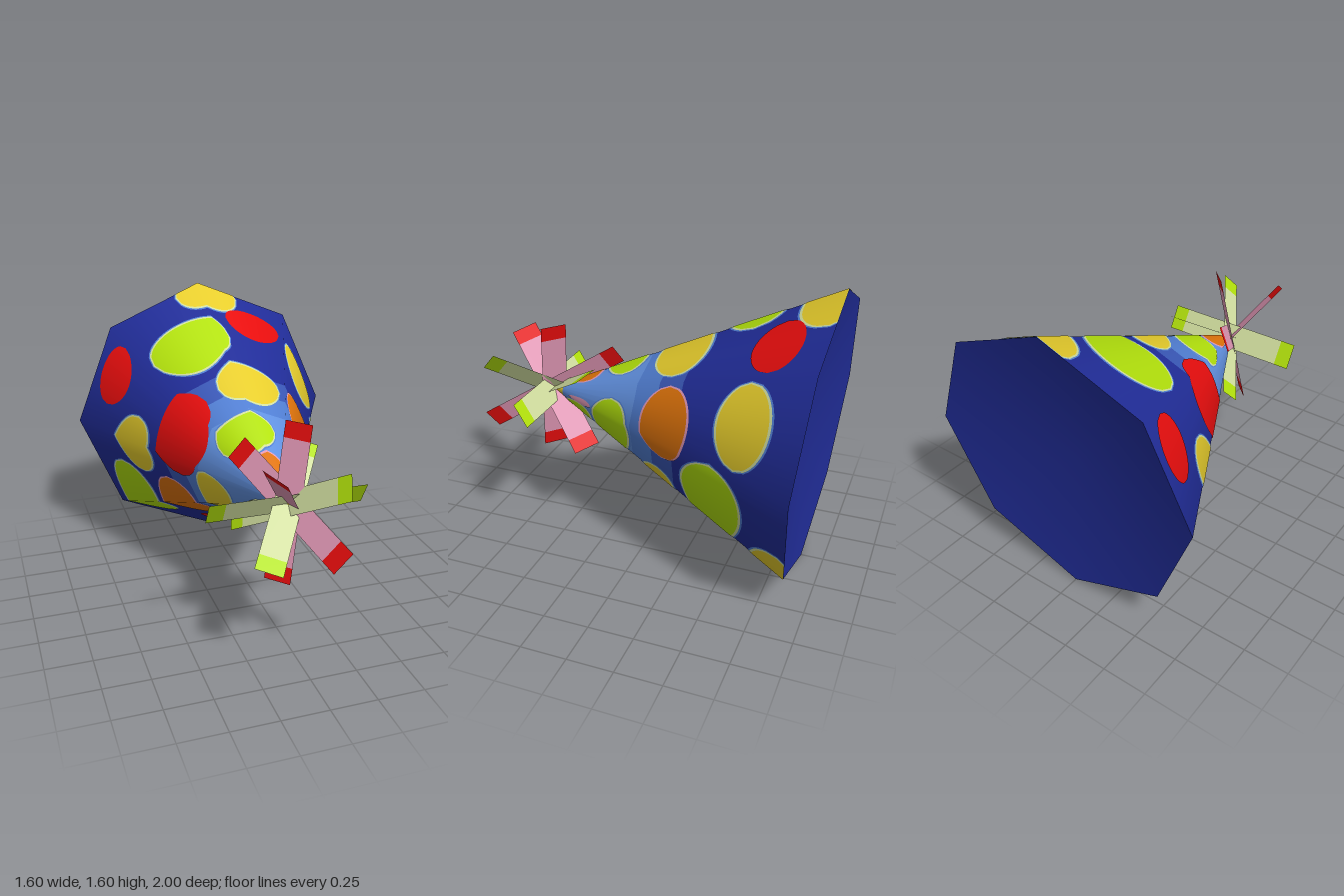
import * as THREE from 'three';

const mat = (name, color) => {
  const m = new THREE.MeshStandardMaterial({ color, side: THREE.DoubleSide });
  m.name = name;
  return m;
};

const RAD = Math.PI / 180;
const STEP = 45; // eight-sided cone
const APEX = new THREE.Vector3(0, 0.805, 0.655);

// The rear end leans, so its depth depends on height
const baseZ = (y) => -0.9375 - 0.078 * (y - 0.8);

// Point on the cone: angle in degrees, t = 0 at the tip and 1 at the rim
function conePoint(deg, t, lift) {
  const inFacet = (((deg % STEP) + STEP) % STEP) - STEP / 2;
  const r = 0.8 * Math.cos((STEP / 2) * RAD) / Math.cos(inFacet * RAD);
  const c = Math.cos(deg * RAD), s = Math.sin(deg * RAD);
  const base = new THREE.Vector3(r * c, 0.8 + r * s, baseZ(0.8 + r * s));
  const normal = new THREE.Vector3(c, s, 0.5).normalize();
  return { p: APEX.clone().lerp(base, t).addScaledVector(normal, lift), normal };
}

// Patch of cone surface between two angles; span(deg) gives its [low, high] t
function conePatch(from, to, steps, span, lift = 0) {
  const angles = [];
  for (let i = 0; i <= steps; i++) angles.push(from + ((to - from) * i) / steps);
  for (let a = Math.ceil(from / STEP) * STEP; a < to; a += STEP) angles.push(a);
  angles.sort((a, b) => a - b);
  const pos = [], nor = [], idx = [];
  angles.forEach((a, i) => {
    for (const t of span(a)) {
      const { p, normal } = conePoint(a, t, lift);
      pos.push(...p.toArray());
      nor.push(...normal.toArray());
    }
    if (i > 0) {
      const k = 2 * i - 2; // low, high, next low, next high
      idx.push(k + 1, k + 3, k + 2, k + 1, k + 2, k);
    }
  });
  const g = new THREE.BufferGeometry();
  g.setAttribute('position', new THREE.Float32BufferAttribute(pos, 3));
  g.setAttribute('normal', new THREE.Float32BufferAttribute(nor, 3));
  g.setIndex(idx);
  return g;
}

// Oval spot lying on the cone
function spotPatch(deg, t, halfDeg, halfT, lift) {
  return conePatch(deg - halfDeg, deg + halfDeg, 28, (a) => {
    const s = Math.min(1, Math.abs(a - deg) / halfDeg);
    const h = halfT * Math.sqrt(1 - s * s);
    return [Math.min(1, t - h), Math.min(1, t + h)];
  }, lift);
}

// Rear face, dished inward toward its middle with smooth shading
function dishedBase(depth) {
  const g = new THREE.CircleGeometry(0.8, 8).rotateY(Math.PI);
  const pos = g.attributes.position, nor = g.attributes.normal;
  const slope = depth / 0.8;
  for (let i = 0; i < pos.count; i++) {
    const x = pos.getX(i), y = pos.getY(i);
    const n = new THREE.Vector3(-slope * x / 0.8, -slope * y / 0.8 - 0.078, -1).normalize();
    pos.setXYZ(i, x, y + 0.8, baseZ(y + 0.8) + depth * (1 - Math.hypot(x, y) / 0.8));
    nor.setXYZ(i, n.x, n.y, n.z);
  }
  return g;
}

export function createModel() {
  const group = new THREE.Group();
  const deepBlue = mat('deepBlue', 0x212d99);
  const midBlue = mat('midBlue', 0x3a58b8);
  const softBlue = mat('softBlue', 0x517fd4);
  const lightBlue = mat('lightBlue', 0x6292e2);
  const red = mat('red', 0xec0e0e);
  const lime = mat('lime', 0xb3e20c);
  const yellow = mat('yellow', 0xe8ce2c);
  const orange = mat('orange', 0xe0740a);
  const pink = mat('pink', 0xe49ab8);
  const paleLime = mat('paleLime', 0xd2dfa0);

  const add = (name, geometry, material, parent = group) => {
    const m = new THREE.Mesh(geometry, material);
    m.name = name;
    parent.add(m);
  };

  // Cone wall in bands, lighter toward the tip
  const bands = [
    ['coneTip', 0, 0.05, yellow],
    ['coneFront', 0.05, 0.38, lightBlue],
    ['coneFrontMiddle', 0.38, 0.47, softBlue],
    ['coneRearMiddle', 0.47, 0.56, midBlue],
    ['coneRear', 0.56, 1, deepBlue],
  ];
  for (const [name, lo, hi, m] of bands) add(name, conePatch(0, 360, 32, () => [lo, hi]), m);

  add('base', dishedBase(0.13), deepBlue);

  // Spots: colour, angle, position along cone, half angle, half length
  const spots = [
    [yellow, 86.5, 0.98, 15, 0.105],
    [lime, 108, 0.73, 24.5, 0.115],
    [red, 64.5, 0.84, 16.5, 0.08],
    [yellow, 23.5, 0.8, 19.5, 0.087],
    [lime, -26.5, 0.715, 27, 0.112],
    [yellow, -52, 0.975, 17, 0.107],
    [red, -87, 0.74, 18, 0.08],
    [lime, 221, 0.84, 23, 0.105],
    [yellow, 183, 0.71, 18, 0.08],
    [red, 152, 0.885, 15, 0.08],
    [red, 159, 0.485, 37, 0.115],
    [orange, 12.5, 0.515, 29, 0.09],
    [yellow, 79, 0.505, 27.5, 0.088],
    [lime, 107, 0.295, 42, 0.075],
    [lime, -20, 0.285, 43, 0.08],
    [orange, 229, 0.59, 26, 0.1],
    [yellow, -60, 0.495, 24, 0.08],
    [yellow, 213, 0.35, 30, 0.07],
    [orange, 100, 0.14, 40, 0.06],
    [lime, -46, 0.13, 30, 0.055],
    [pink, -2, 0.14, 10, 0.055],
  ];
  const spotGroup = new THREE.Group();
  spotGroup.name = 'spots';
  group.add(spotGroup);
  for (const [m, deg, t, halfDeg, halfT] of spots) {
    const outline = (name, width, lift, material) =>
      add(name, spotPatch(deg, t, halfDeg + (75 * width) / t, halfT + width, lift), material, spotGroup);
    // Soft blue halo and pale outline
    if (m === yellow || m === lime) {
      outline('spotHalo', 0.014, 0.0015, softBlue);
      outline('spotEdge', 0.008, 0.003, paleLime);
    } else if (m === orange) {
      outline('spotEdge', 0.008, 0.003, pink);
    }
    add('spot', spotPatch(deg, t, halfDeg, halfT, 0.0045), m, spotGroup);
  }

  // Ribbon burst: half-length vector, full-width vector, tip and middle colours
  const centre = new THREE.Vector3(0, 0.807, 0.643);
  const ribbons = [
    [[0.418, 0, 0], [0, 0.125, 0.075], lime, paleLime],
    [[0.07, 0.405, -0.047], [0.103, -0.006, 0.103], red, pink],
    [[0.205, 0.2, -0.3], [0.125, -0.04, 0.06], lime, paleLime],
    [[0.2, 0.19, 0.31], [0.035, 0.1, -0.09], lime, paleLime],
    [[-0.17, 0.27, 0.275], [0.085, -0.05, 0.11], red, pink],
    [[0.16, -0.195, 0.338], [0.08, 0.115, 0.035], red, pink],
  ];
  for (const [along, across, tip, middle] of ribbons) {
    const ribbon = new THREE.Group();
    ribbon.name = 'ribbon';
    group.add(ribbon);
    const u = new THREE.Vector3(...along), w = new THREE.Vector3(...across);
    const pieces = [['ribbonTip', -1, -0.79, tip], ['ribbonMiddle', -0.79, 0.79, middle], ['ribbonTip', 0.79, 1, tip]];
    for (const [name, a, b, m] of pieces) {
      const corners = [[a, -0.5], [b, -0.5], [b, 0.5], [a, 0.5]].map(([s, v]) =>
        centre.clone().addScaledVector(u, s).addScaledVector(w, v));
      const g = new THREE.BufferGeometry().setFromPoints(corners);
      g.setIndex([0, 1, 2, 0, 2, 3]);
      g.computeVertexNormals();
      add(name, g, m, ribbon);
    }
  }
  return group;
}
